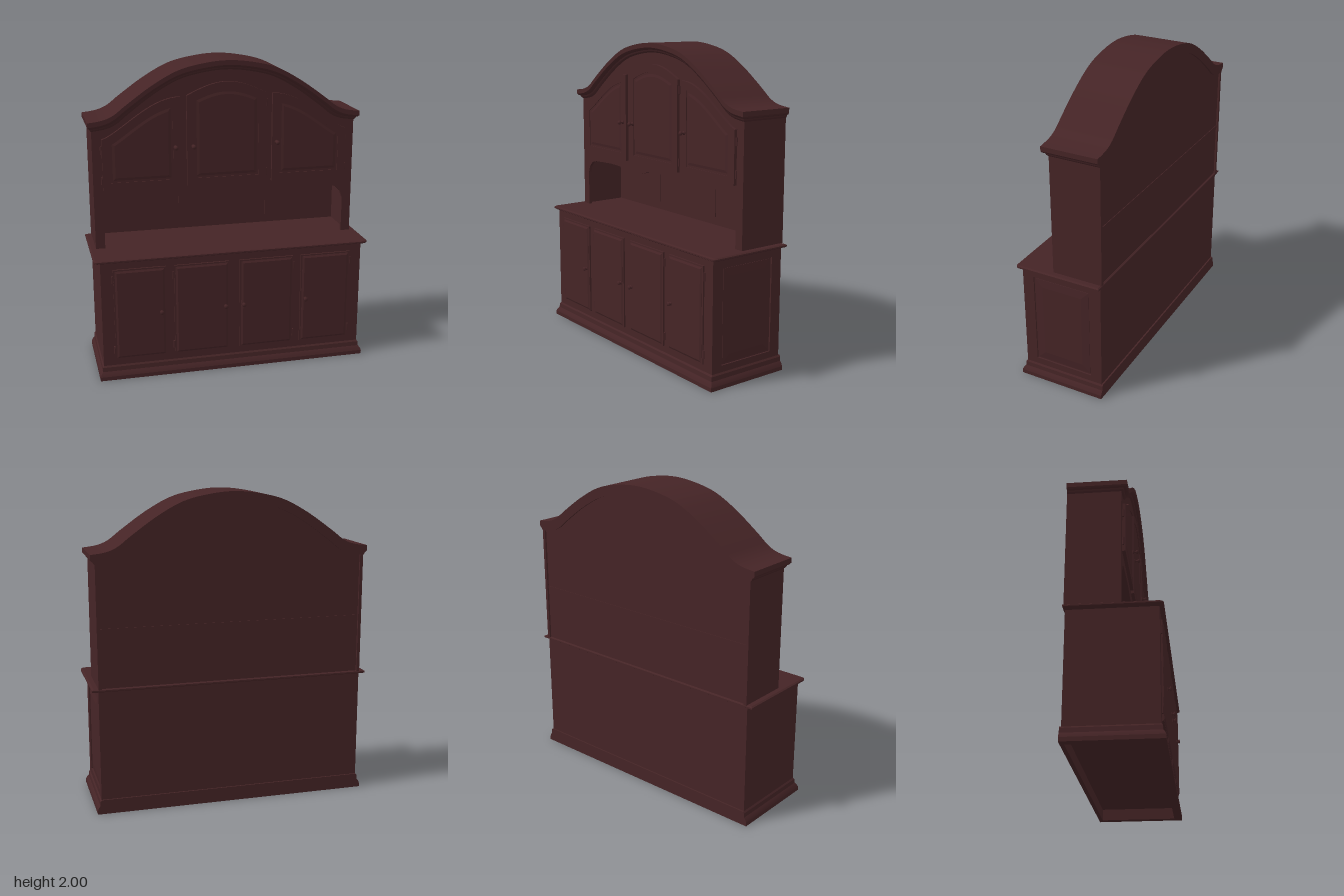
import * as THREE from 'three';
import { toCreasedNormals } from 'three/addons/utils/BufferGeometryUtils.js';

const BACK = -0.295, HALF = 0.86, BASE_FRONT = 0.255, TOP_FRONT = 0.035;

export function createModel() {
  const model = new THREE.Group();
  model.name = 'cabinet';
  const wood = new THREE.MeshStandardMaterial({ color: 0x452426, side: THREE.DoubleSide });
  wood.name = 'dark wood';

  const add = (name, geometry, parent = model) => {
    const mesh = new THREE.Mesh(geometry, wood);
    mesh.name = name;
    parent.add(mesh);
    return mesh;
  };
  // Box given by its limits
  const block = (name, x0, x1, y0, y1, z0, z1) =>
    add(name, new THREE.BoxGeometry(x1 - x0, y1 - y0, z1 - z0))
      .position.set((x0 + x1) / 2, (y0 + y1) / 2, (z0 + z1) / 2);
  const extrude = (shape, depth, bevel = 0) => new THREE.ExtrudeGeometry(shape, {
    depth, bevelEnabled: bevel > 0, bevelThickness: 0.006, bevelSize: bevel, bevelOffset: -bevel, bevelSegments: 1,
  });
  const v2 = (pts) => pts.map(([x, y]) => new THREE.Vector2(x, y));
  const rect = (x0, x1, y0, y1) => v2([[x0, y0], [x1, y0], [x1, y1], [x0, y1]]);
  const surface = (positions, index, crease) => {
    const g = new THREE.BufferGeometry();
    g.setAttribute('position', new THREE.Float32BufferAttribute(positions, 3));
    g.setIndex(index);
    return toCreasedNormals(g, crease);
  };

  // Hollow plinth: rings of [overhang, height] around the base, flush at the back
  const rings = [[-0.025, 0.08], [-0.025, 0], [0.027, 0], [0.027, 0.025], [0.02, 0.042],
    [0.01, 0.055], [0.008, 0.083], [0, 0.093], [-0.02, 0.093]];
  const plinthPos = [], plinthIdx = [];
  rings.forEach(([out, y], i) => {
    const x = HALF + out, f = BASE_FRONT + out, b = BACK + Math.max(0, -out);
    plinthPos.push(-x, y, f, x, y, f, x, y, b, -x, y, b);
    if (i === 0) return;
    for (let k = 0; k < 4; k++) {
      const n = (k + 1) % 4, lo = (i - 1) * 4, hi = i * 4;
      plinthIdx.push(lo + k, lo + n, hi + n, lo + k, hi + n, hi + k);
    }
  });
  add('plinth', surface(plinthPos, plinthIdx, 0.3));
  block('lowerCarcass', -HALF, 0.85, 0.075, 0.797, BACK + 0.01, BASE_FRONT);

  // Worktop with rounded front corners
  const slab = new THREE.Shape();
  slab.moveTo(-0.9, -BACK);
  slab.lineTo(-0.9, -0.25);
  slab.quadraticCurveTo(-0.9, -0.281, -0.87, -0.281);
  slab.lineTo(0.87, -0.281);
  slab.quadraticCurveTo(0.9, -0.281, 0.9, -0.25);
  slab.lineTo(0.9, -BACK);
  const worktop = add('worktop', extrude(slab, 0.009, 0.01));
  worktop.rotation.x = -Math.PI / 2;
  worktop.position.y = 0.8;

  // Framed door with a raised field; top(x) gives its upper edge
  const archedDoor = (x0, x1, y0, top) => {
    const group = new THREE.Group();
    group.name = 'upperDoor';
    group.position.z = TOP_FRONT;
    model.add(group);
    const outline = (m) => {
      const pts = [[x0 + m, y0 + m], [x1 - m, y0 + m]];
      for (let i = 0; i <= 16; i++) {
        const x = x1 - m + (x0 - x1 + 2 * m) * i / 16;
        pts.push([x, top(x) - m]);
      }
      return v2(pts);
    };
    const frame = new THREE.Shape(outline(0));
    frame.holes.push(new THREE.Path(outline(0.05)));
    add('frame', extrude(frame, 0.02), group);
    add('panelBacking', extrude(new THREE.Shape(outline(0.045)), 0.015), group);
    add('raisedField', extrude(new THREE.Shape(outline(0.055)), 0.013, 0.025), group);
  };

  const knobProfile = v2([[0, 0], [0.014, 0], [0.012, 0.004], [0.005, 0.007], [0.005, 0.014],
    [0.013, 0.019], [0.014, 0.024], [0.008, 0.029], [0, 0.03]]);
  const knob = (x, y, z, length) => {
    const k = add('knob', new THREE.LatheGeometry(knobProfile, 16));
    k.rotation.x = Math.PI / 2;
    k.scale.y = length / 0.03;
    k.position.set(x, y, z);
  };
  const hinge = (x, y, z) =>
    add('hinge', new THREE.CylinderGeometry(0.006, 0.006, 0.05, 8)).position.set(x, y, z);

  // Lower doors: flat slabs with a stepped, chamfered edge
  for (const s of [-1, 1]) {
    for (const [a, b, knobX, hingeX] of [[0.035, 0.395, 0.06, 0.4], [0.447, 0.782, 0.48, 0.787]]) {
      const x0 = Math.min(s * a, s * b), x1 = Math.max(s * a, s * b);
      const door = new THREE.Group();
      door.name = 'lowerDoor';
      door.position.z = BASE_FRONT;
      model.add(door);
      add('doorEdge', extrude(new THREE.Shape(rect(x0, x1, 0.135, 0.745)), 0.01), door);
      add('doorFace', extrude(new THREE.Shape(rect(x0 + 0.01, x1 - 0.01, 0.145, 0.735)), 0.011, 0.012), door);
      knob(s * knobX, 0.44, BASE_FRONT + 0.016, 0.025);
      for (const y of [0.2, 0.68]) hinge(s * hingeX, y, BASE_FRONT + 0.004);
    }
  }

  // Panelled left end of the lower cabinet; the other end is plain
  const end = new THREE.Group();
  end.name = 'endPanel';
  end.rotation.y = Math.PI / 2;
  end.position.x = 0.85;
  model.add(end);
  const endFrame = new THREE.Shape(rect(-BASE_FRONT, -BACK - 0.01, 0.075, 0.797));
  endFrame.holes.push(new THREE.Path(rect(-0.18, 0.21, 0.135, 0.74)));
  add('endFrame', extrude(endFrame, 0.01), end);
  add('endField', extrude(new THREE.Shape(rect(-0.17, 0.2, 0.145, 0.73)), 0.003, 0.05), end);

  // Arched crown line
  const half = [[0.86, 1.642], [0.77, 1.655], [0.7, 1.685], [0.62, 1.748], [0.465, 1.86],
    [0.31, 1.945], [0.155, 1.985]];
  const crown = new THREE.SplineCurve(v2([...half.map(([x, y]) => [-x, y]), [0, 2], ...half.reverse()])).getPoints(70);

  // Upper carcass, with its back board set in between the sides
  for (const s of [-1, 1]) {
    const x = s * (HALF - 0.01);
    block('upperSide', x - 0.01, x + 0.01, 0.812, 1.62, BACK, TOP_FRONT - 0.005);
  }
  const arch = crown.map((p) => new THREE.Vector2(p.x, p.y - 0.03));
  const backArch = arch.map((p) => new THREE.Vector2(p.x * 0.985, p.y));
  const backShape = new THREE.Shape([...v2([[-0.847, 0.812]]), ...backArch, ...v2([[0.847, 0.812]])]);
  add('backBoard', extrude(backShape, 0.012)).position.z = BACK + 0.012;
  block('cupboardFloor', -0.85, 0.85, 1.17, 1.19, BACK + 0.008, 0.02);

  // Face frame with a scalloped apron over the open niche
  const scallop = [[0.8, 0.812], [0.8, 1.05], [0.785, 1.095], [0.75, 1.13], [0.7, 1.142], [0.6, 1.147],
    [0.5, 1.15], [0.4, 1.145], [0.3, 1.13], [0.22, 1.122], [0.14, 1.132], [0.07, 1.155]];
  const face = new THREE.Shape([...v2([[-HALF, 0.812]]), ...arch, ...v2([[HALF, 0.812]]),
    ...v2([...scallop, [0, 1.167], ...scallop.map(([x, y]) => [-x, y]).reverse()])]);
  add('faceFrame', extrude(face, 0.02)).position.z = TOP_FRONT - 0.02;

  // Flat panels at the back of the niche
  for (const [a, b] of [[-0.775, -0.345], [-0.26, 0.26], [0.345, 0.775]]) {
    block('nichePanel', a, b, 0.87, 1.12, BACK + 0.022, BACK + 0.029);
  }

  // Upper doors with arched tops
  const sideTop = (x) => {
    const t = THREE.MathUtils.clamp((0.8 - Math.abs(x)) / 0.5, 0, 1);
    return 1.53 + 0.25 * Math.sin(t * Math.PI / 2) ** 1.3;
  };
  const middleTop = (x) => 1.785 + 0.08 * Math.cos(x * Math.PI / 0.52);
  for (const [a, b, top] of [[-0.8, -0.3, sideTop], [-0.26, 0.26, middleTop], [0.3, 0.8, sideTop]]) {
    archedDoor(a, b, 1.2, top);
  }
  for (const x of [-0.335, -0.22, 0.33]) knob(x, 1.46, 0.054, 0.04);
  for (const x of [-0.805, 0.265, 0.805]) {
    for (const y of [1.265, x === 0.265 ? 1.72 : 1.46]) hinge(x, y, 0.042);
  }

  // Crown moulding: profile of [overhang, drop] swept along the arch and returned at the ends
  const profile = [[0.026, 0], [0.026, 0.03], [0.02, 0.039], [0.011, 0.044], [0.008, 0.053], [0, 0.062]];
  const section = [...profile.map(([out, drop]) => [out, drop, TOP_FRONT + out * 1.4]),
    ...profile.map(([out, drop]) => [out, drop, BACK]).reverse()];
  const pos = [], idx = [], n = section.length;
  crown.forEach((p, i) => {
    section.forEach(([out, drop, z], j) => {
      pos.push(p.x * (HALF + out) / HALF, p.y - drop, z);
      if (i === 0) return;
      const a = (i - 1) * n + j, d = (i - 1) * n + (j + 1) % n, b = a + n, c = d + n;
      idx.push(a, d, b, d, c, b);
    });
  });
  const last = (crown.length - 1) * n;
  for (let k = 0; k < profile.length - 1; k++) {
    const a = k, b = k + 1, c = n - 2 - k, d = n - 1 - k;
    idx.push(a, c, b, a, d, c, last + a, last + b, last + c, last + a, last + c, last + d);
  }
  add('crownMoulding', surface(pos, idx, 0.4));

  return model;
}
